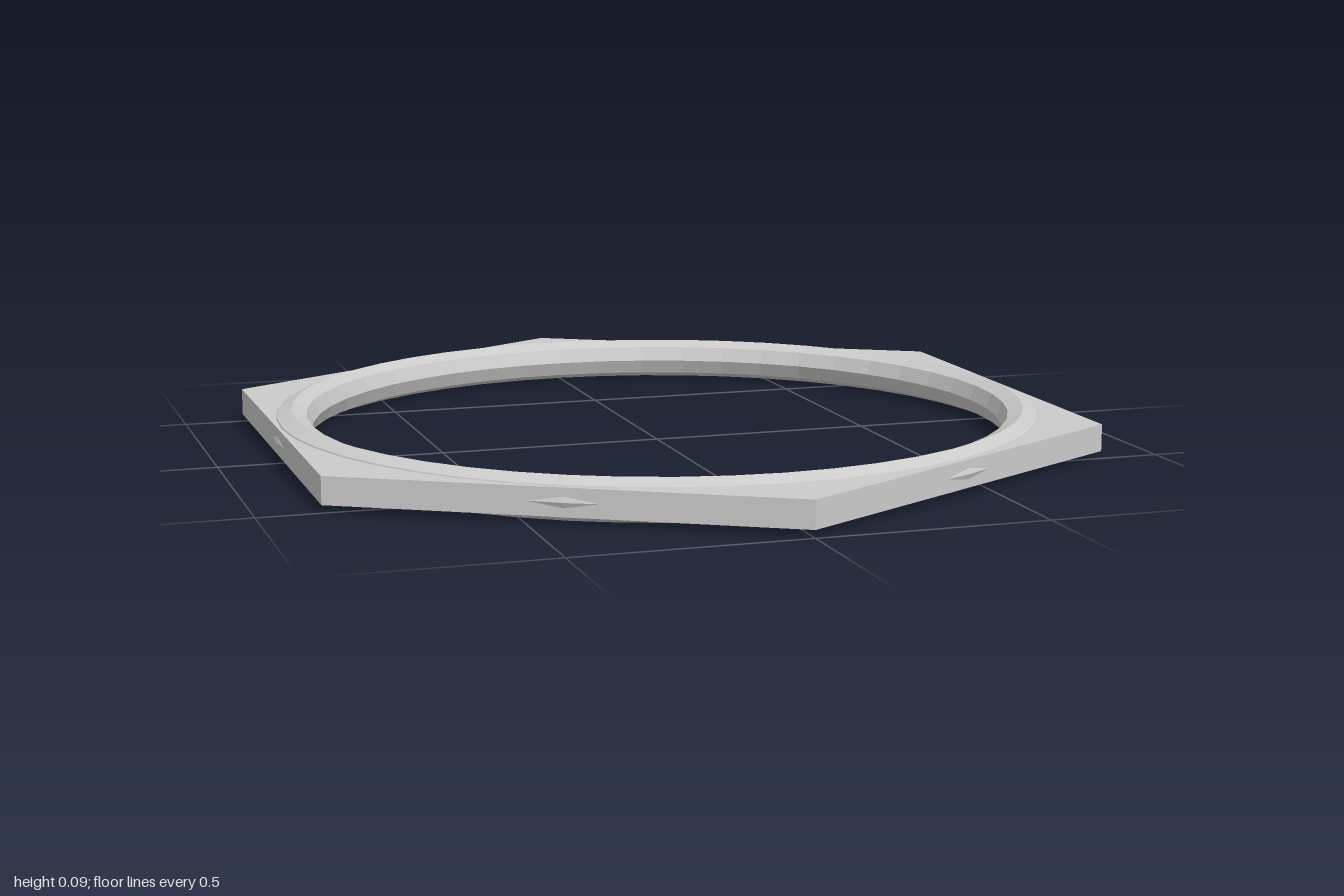
import * as THREE from 'three';

const RING_RADIUS = 0.8244, TUBE = 0.0465, PLATE_HEIGHT = 0.06;

export function createModel() {
  const model = new THREE.Group();
  const material = new THREE.MeshStandardMaterial({ color: 0xcccccc, flatShading: true });

  const add = (name, geometry) => {
    geometry.rotateX(-Math.PI / 2); // lay flat
    const mesh = new THREE.Mesh(geometry, material);
    mesh.name = name;
    model.add(mesh);
    return mesh;
  };

  // Hexagonal plate, corners at front and back; its hole is hidden inside the ring
  const hexagon = new THREE.Shape(Array.from({ length: 6 }, (_, i) => {
    const a = Math.PI / 2 + i * Math.PI / 3;
    return new THREE.Vector2(Math.cos(a), Math.sin(a));
  }));
  hexagon.holes.push(new THREE.Path().absarc(0, 0, RING_RADIUS, 0, Math.PI * 2, true));
  const plate = add('hexagonPlate', new THREE.ExtrudeGeometry(hexagon, {
    depth: PLATE_HEIGHT, bevelEnabled: false, curveSegments: 48,
  }));
  plate.position.y = TUBE - PLATE_HEIGHT / 2;

  // Faceted ring that bulges slightly through the plate's flat sides
  const ring = add('ring', new THREE.TorusGeometry(RING_RADIUS, TUBE, 8, 48));
  ring.position.y = TUBE;

  return model;
}
